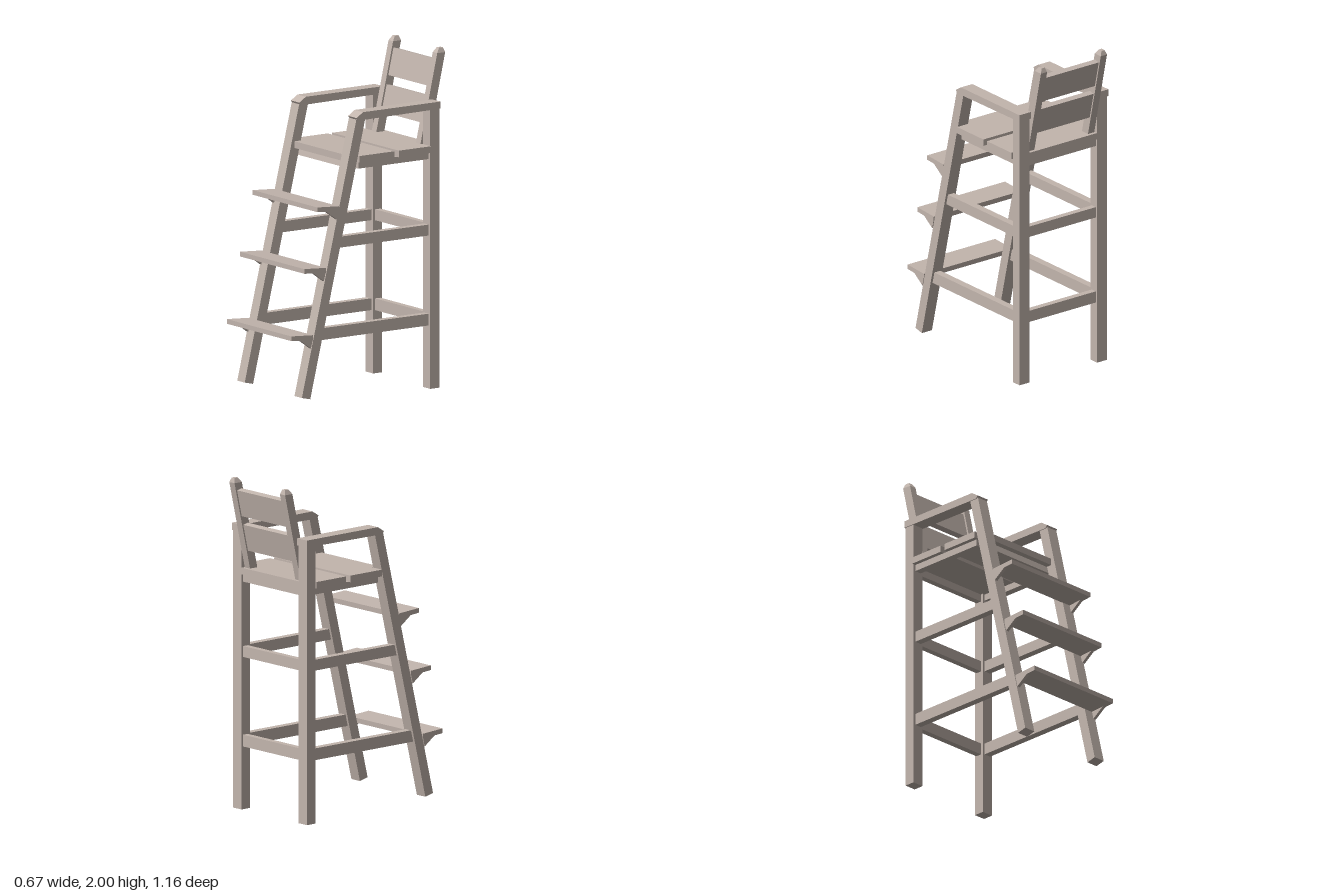
import * as THREE from 'three';

export function createModel() {
  const model = new THREE.Group();
  model.name = 'lifeguardChair';
  const wood = new THREE.MeshStandardMaterial({ color: 0xc2b5ad });
  wood.name = 'paleWood';

  const add = (name, geometry) => {
    const mesh = new THREE.Mesh(geometry, wood);
    mesh.name = name;
    model.add(mesh);
  };

  // Side profile of [z, y] points, extruded from x0 to x1
  function board(name, points, x0, x1) {
    const shape = new THREE.Shape(points.map(([z, y]) => new THREE.Vector2(z, y)));
    const g = new THREE.ExtrudeGeometry(shape, { depth: x1 - x0, bevelEnabled: false });
    g.rotateY(-Math.PI / 2).translate(x1, 0, 0);
    add(name, g);
  }
  const rect = (z0, z1, y0, y1) => [[z0, y0], [z1, y0], [z1, y1], [z0, y1]];
  const pair = (name, points, x0, x1) => {
    board(name + 'Left', points, x0, x1);
    board(name + 'Right', points, -x1, -x0);
  };

  // Front edge of the leaning front legs and of the backrest posts
  const legFront = (y) => 0.115 + (1.66 - y) * 0.242;
  const legBack = (y) => legFront(y) - 0.064;
  const postFront = (y) => -0.402 - (y - 1.445) * 0.2286;

  // Legs and armrests
  pair('backLeg', rect(-0.48, -0.415, 0, 1.66), 0.25, 0.325);
  pair('frontLeg', [[0.505, 0.05], [0.445, 0.036], [legBack(1.66), 1.66], [legFront(1.66), 1.66]], 0.25, 0.325);
  pair('armrest', [[-0.485, 1.66], [0.105, 1.655], [0.117, 1.672], [0.07, 1.702], [-0.485, 1.702]], 0.245, 0.33);

  // Side and back stretchers
  for (const [i, y0, y1] of [[1, 0.375, 0.445], [2, 0.91, 0.975]]) {
    const rail = [[-0.42, y0], [legBack(y0) + 0.005, y0], [legBack(y1) + 0.005, y1], [-0.42, y1]];
    pair('sideStretcher' + i, rail, 0.265, 0.31);
    board('backStretcher' + i, rect(-0.468, -0.43, y0, y1), -0.255, 0.255);
  }

  // Seat frame
  pair('seatSideRail', rect(-0.42, 0.09, 1.365, 1.404), 0.265, 0.31);
  board('seatFrontRail', [[0.077, 1.355], [0.122, 1.362], [0.112, 1.404], [0.066, 1.404]], -0.265, 0.265);
  board('seatBackRail', rect(-0.468, -0.43, 1.36, 1.404), -0.255, 0.255);

  // Seat boards, notched around the legs
  function seatBoard(name, zInner, zNotch, zOuter) {
    const outline = [[-0.335, zInner], [0.335, zInner], [0.335, zNotch], [0.25, zNotch],
      [0.25, zOuter], [-0.25, zOuter], [-0.25, zNotch], [-0.335, zNotch]];
    const shape = new THREE.Shape(outline.map(([x, z]) => new THREE.Vector2(x, -z)));
    const g = new THREE.ExtrudeGeometry(shape, { depth: 0.04, bevelEnabled: false });
    g.rotateX(-Math.PI / 2).translate(0, 1.405, 0);
    add(name, g);
  }
  seatBoard('frontSeatBoard', -0.15, 0.098, 0.147);
  seatBoard('rearSeatBoard', -0.183, -0.415, -0.48);

  // Steps with a bracket at each end
  for (const [i, z, y] of [[1, 0.58, 0.425], [2, 0.487, 0.815], [3, 0.394, 1.171]]) {
    board('step' + i, [[z, y - 0.028], [z - 0.153, y - 0.04], [z - 0.155, y - 0.01], [z, y]], -0.325, 0.325);
    pair('stepBracket' + i, [[z - 0.062, y - 0.032], [z - 0.14, y - 0.088], [z - 0.155, y - 0.025]], 0.305, 0.325);
  }

  // Backrest posts: sheared boxes with chamfered tops
  for (const [side, x] of [['Left', 0.222], ['Right', -0.222]]) {
    const g = new THREE.BoxGeometry(0.046, 2, 0.057, 1, 2, 1).toNonIndexed();
    const p = g.attributes.position;
    for (let i = 0; i < p.count; i++) {
      const level = Math.round(p.getY(i)) + 1;
      const y = [1.42, 1.972, 2][level];
      const s = level === 2 ? 0.5 : 1;
      p.setXYZ(i, x + p.getX(i) * s, y, postFront(y) - 0.0285 + p.getZ(i) * s);
    }
    g.computeVertexNormals();
    add('backrestPost' + side, g);
  }

  // Backrest slats, leaning with the posts
  for (const [name, y0, y1] of [['lowerBackSlat', 1.562, 1.722], ['upperBackSlat', 1.775, 1.935]]) {
    const z0 = postFront(y0) - 0.011, z1 = postFront(y1) - 0.011;
    board(name, [[z0, y0], [z1, y1], [z1 - 0.035, y1 - 0.008], [z0 - 0.035, y0 - 0.008]], -0.202, 0.202);
  }

  return model;
}
